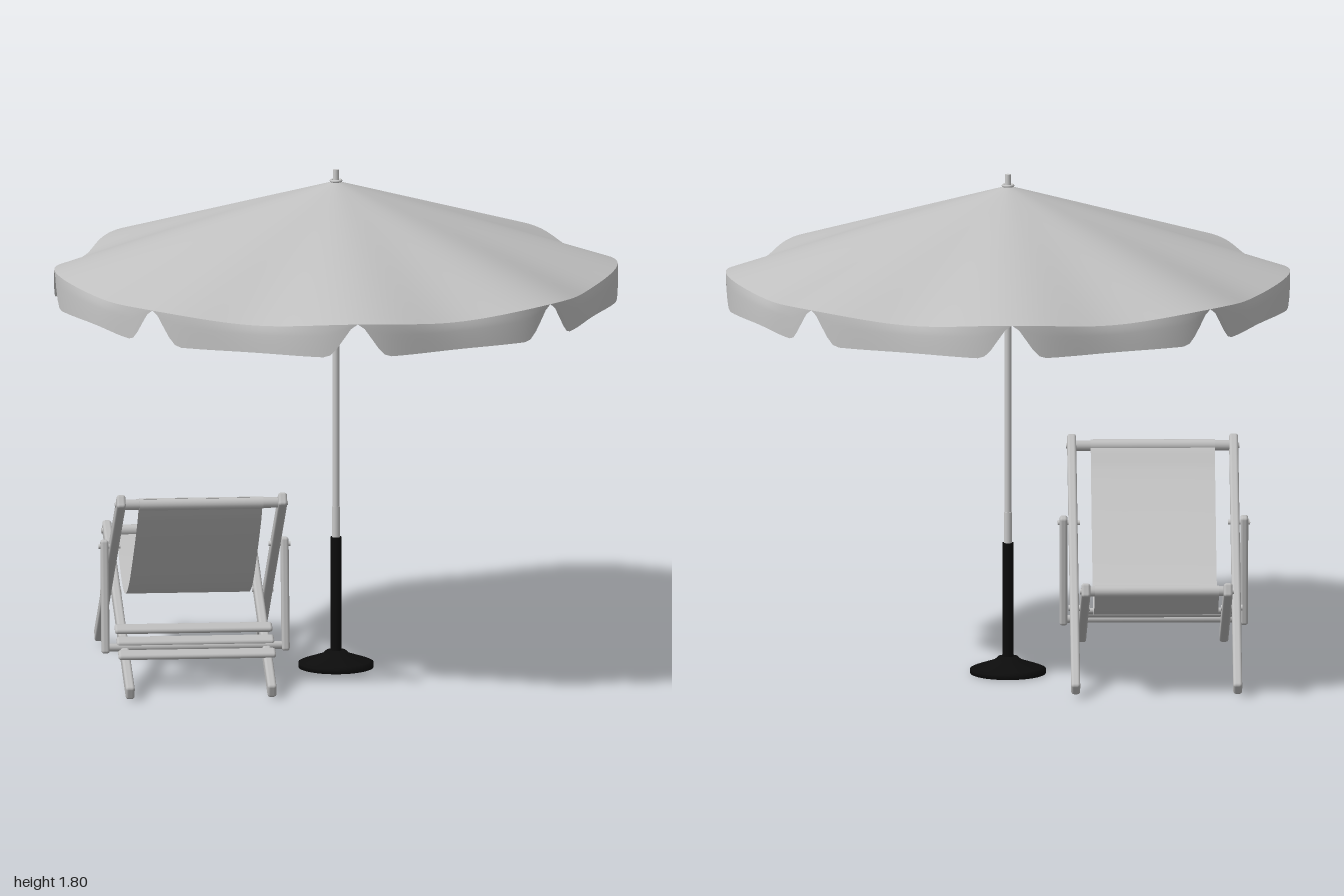
import * as THREE from 'three';
import { RoundedBoxGeometry } from 'three/addons/geometries/RoundedBoxGeometry.js';

const mat = (name, color, side = THREE.FrontSide) => {
  const m = new THREE.MeshStandardMaterial({ color, side });
  m.name = name;
  return m;
};

// Smooth surface from rows x cols points; columns may close into a ring
function grid(rows, cols, wrap, fn) {
  const pos = [], idx = [], n = wrap ? cols : cols + 1;
  for (let i = 0; i <= rows; i++)
    for (let j = 0; j < n; j++) pos.push(...fn(i / rows, j / cols));
  for (let i = 0; i < rows; i++)
    for (let j = 0; j < cols; j++) {
      const a = i * n + j, b = i * n + ((j + 1) % n), c = a + n, d = b + n;
      idx.push(a, b, c, b, d, c);
    }
  const g = new THREE.BufferGeometry();
  g.setAttribute('position', new THREE.Float32BufferAttribute(pos, 3));
  g.setIndex(idx);
  g.computeVertexNormals();
  return g;
}

function add(parent, name, geometry, material, x = 0, y = 0, z = 0) {
  const m = new THREE.Mesh(geometry, material);
  m.name = name;
  m.position.set(x, y, z);
  parent.add(m);
  return m;
}

export function createModel() {
  const canvas = mat('canvas', 0xc0c0c0, THREE.DoubleSide);
  const wood = mat('wood', 0xbcbcbc);
  const metal = mat('metal', 0xc8c8c8);
  const black = mat('black', 0x0c0c0c);
  const model = new THREE.Group();
  model.name = 'umbrellaAndDeckChair';

  // ---- Umbrella ----
  const umbrella = new THREE.Group();
  umbrella.name = 'umbrella';
  model.add(umbrella);

  const sag = (a) => Math.sin(4 * a) ** 2; // 0 on a rib, 1 in mid panel
  const rimRadius = (a) => 1 - 0.06 * sag(a);
  const rimY = (a) => 1.45 - 0.025 * sag(a);

  add(umbrella, 'canopy', grid(20, 256, true, (v, w) => {
    const a = w * Math.PI * 2, t = 0.008 + 0.992 * v;
    const r = t * (1 - 0.06 * sag(a) * t);
    return [r * Math.cos(a), 1.76 - 0.31 * t - 0.025 * sag(a) * t * t, r * Math.sin(a)];
  }), canvas);

  // Hanging flaps, notched at every rib
  add(umbrella, 'valance', grid(6, 256, true, (v, w) => {
    const a = w * Math.PI * 2, f = (w * 8) % 1;
    const p = 2 * Math.min(f, 1 - f);
    const e = THREE.MathUtils.smoothstep(p, 0.01, 0.3) ** 0.8;
    const r = rimRadius(a) + 0.016 * e * Math.sqrt(v) * (0.2 + 0.8 * sag(a));
    return [r * Math.cos(a), rimY(a) - v * e * (rimY(a) - 1.33), r * Math.sin(a)];
  }), canvas);

  add(umbrella, 'pole', new THREE.CylinderGeometry(0.012, 0.012, 1.32, 20), metal, 0, 1.1, 0);
  add(umbrella, 'poleSleeve', new THREE.CylinderGeometry(0.015, 0.015, 0.14, 20), metal, 0, 0.51, 0);
  add(umbrella, 'poleTip', new THREE.CylinderGeometry(0.01, 0.012, 0.05, 16), metal, 0, 1.775, 0);
  add(umbrella, 'tipRing', new THREE.TorusGeometry(0.018, 0.005, 8, 20).rotateX(Math.PI / 2), metal, 0, 1.76, 0);
  add(umbrella, 'baseTube', new THREE.CylinderGeometry(0.02, 0.02, 0.42, 24), black, 0, 0.26, 0);
  const foot = [[0, 0], [0.134, 0], [0.134, 0.016], [0.12, 0.022], [0.05, 0.046], [0.034, 0.06], [0, 0.06]];
  add(umbrella, 'baseFoot', new THREE.LatheGeometry(foot.map(([x, y]) => new THREE.Vector2(x, y)), 40), black);

  // ---- Deck chair, facing local +x ----
  const chair = new THREE.Group();
  chair.name = 'deckChair';
  chair.rotation.y = Math.PI / 4;
  chair.position.set(-0.368, 0, -0.368);
  model.add(chair);

  // Rounded plank between two points of the side profile
  const plank = (name, x0, y0, x1, y1, z, height, width) => {
    const len = Math.hypot(x1 - x0, y1 - y0);
    const m = add(chair, name, new RoundedBoxGeometry(len, height, width, 3, 0.01),
      wood, (x0 + x1) / 2, (y0 + y1) / 2, z);
    m.rotation.z = Math.atan2(y1 - y0, x1 - x0);
  };
  // Round bar running across the chair
  const rod = (name, x, y, r, length, material, z = 0) =>
    add(chair, name, new THREE.CylinderGeometry(r, r, length, 20).rotateX(Math.PI / 2), material, x, y, z);

  for (const s of [-1, 1]) {
    plank('backRail', -0.575, 0.735, 0.465, 0.027, s * 0.287, 0.05, 0.032);
    plank('seatRail', -0.54, 0.027, 0.555, 0.407, s * 0.252, 0.05, 0.032);
    plank('propLeg', -0.222, 0.52, -0.278, 0.12, s * 0.32, 0.042, 0.028);
    rod('pivotBolt', 0.126, 0.258, 0.01, 0.076, metal, s * 0.27);
    rod('propBolt', -0.226, 0.497, 0.009, 0.078, metal, s * 0.302);
    rod('barEnd', -0.54, 0.713, 0.01, 0.006, metal, s * 0.304);
    rod('barEnd', 0.52, 0.395, 0.01, 0.006, metal, s * 0.27);
  }

  rod('topBar', -0.54, 0.713, 0.019, 0.56, wood);
  rod('frontBar', 0.52, 0.395, 0.018, 0.49, wood);
  rod('propDowel', -0.275, 0.14, 0.014, 0.64, wood);
  for (const [x, y] of [[-0.345, 0.127], [-0.262, 0.158], [-0.18, 0.186]])
    plank('propSlat', x - 0.024, y - 0.008, x + 0.024, y + 0.008, 0, 0.02, 0.56);

  // Hanging fabric seat with hems around the bars
  const curve = new THREE.CatmullRomCurve3([
    [-0.55, 0.734], [-0.515, 0.705], [-0.46, 0.64], [-0.25, 0.46], [-0.05, 0.315],
    [0.1, 0.255], [0.2, 0.25], [0.32, 0.283], [0.53, 0.4],
  ].map(([x, y]) => new THREE.Vector3(x, y, 0)));
  add(chair, 'sling', grid(48, 4, false, (v, w) => {
    const p = curve.getPoint(v);
    return [p.x, p.y, (w - 0.5) * 0.44];
  }), canvas);
  rod('topHem', -0.54, 0.713, 0.022, 0.44, canvas);
  rod('frontHem', 0.52, 0.395, 0.021, 0.44, canvas);

  return model;
}
